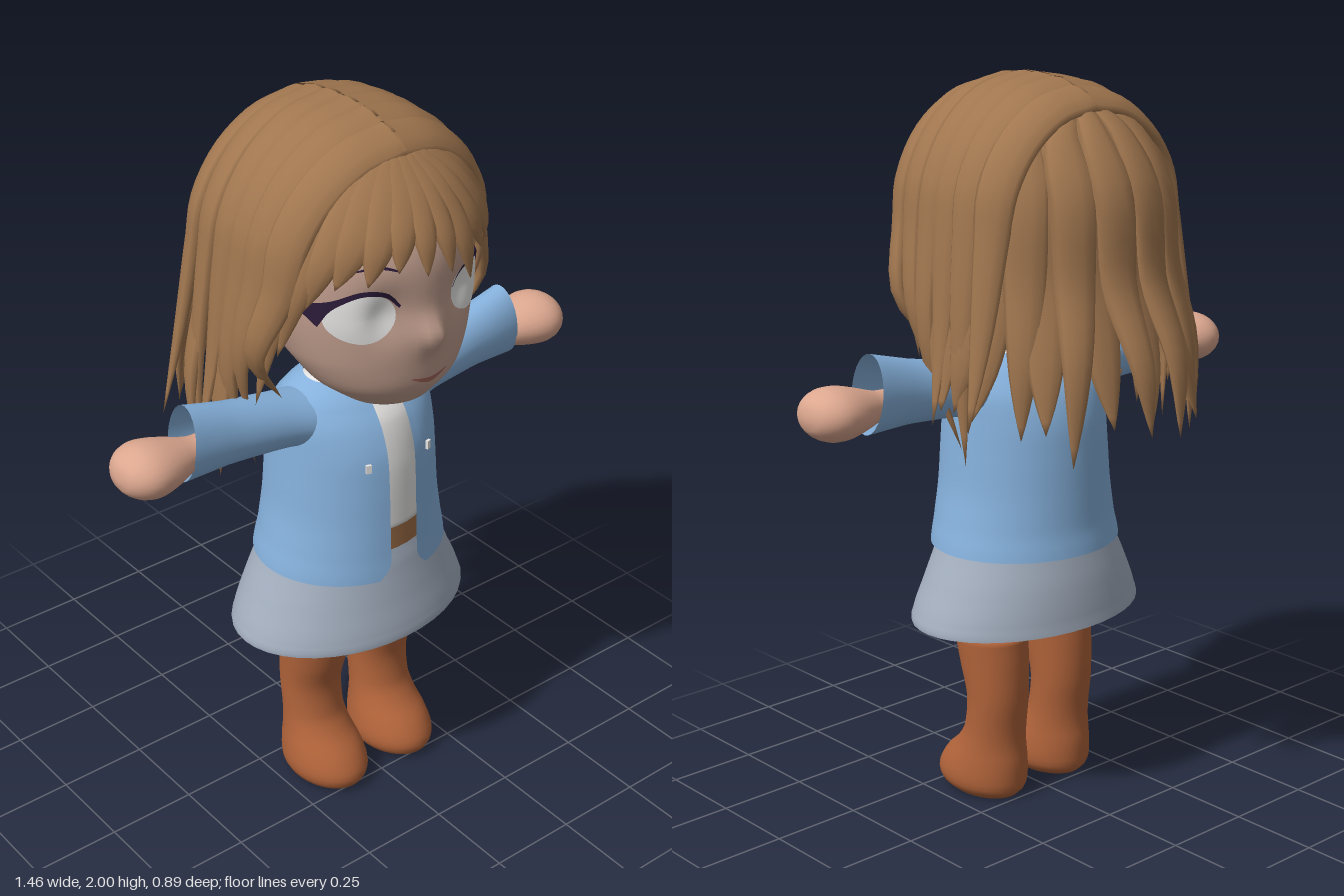
import * as THREE from 'three';
import { mergeVertices } from 'three/addons/utils/BufferGeometryUtils.js';

const V = (x, y, z) => new THREE.Vector3(x, y, z);
const { lerp, smoothstep, degToRad } = THREE.MathUtils;

const material = (name, color) => {
  const m = new THREE.MeshStandardMaterial({ color, side: THREE.DoubleSide });
  m.name = name;
  return m;
};

// Smooth surface from a function of two parameters in 0..1
function grid(rows, cols, fn) {
  const pos = [], index = [];
  for (let i = 0; i <= rows; i++)
    for (let j = 0; j <= cols; j++) pos.push(...fn(i / rows, j / cols).toArray());
  for (let i = 0; i < rows; i++)
    for (let j = 0; j < cols; j++) {
      const a = i * (cols + 1) + j, c = a + cols + 1;
      index.push(a, a + 1, c, a + 1, c + 1, c);
    }
  let g = new THREE.BufferGeometry();
  g.setAttribute('position', new THREE.Float32BufferAttribute(pos, 3));
  g.setIndex(index);
  g = mergeVertices(g, 1e-5);
  g.computeVertexNormals();
  return g;
}

// Profile rows are [y, half width, front z, back z], smoothly interpolated by height
function rowAt(rows, y) {
  let i = 0;
  while (i < rows.length - 2 && y > rows[i + 1][0]) i++;
  const at = k => rows[Math.min(Math.max(k, 0), rows.length - 1)];
  const t = (y - rows[i][0]) / (rows[i + 1][0] - rows[i][0]);
  return [1, 2, 3].map(k => {
    const [a, b, c, d] = [at(i - 1)[k], at(i)[k], at(i + 1)[k], at(i + 2)[k]];
    return b + 0.5 * t * (c - a + t * (2 * a - 5 * b + 4 * c - d + t * (3 * (b - c) + d - a)));
  });
}

// Upright body of oval sections; gap leaves a front opening of that half width
function loft(rows, { steps = 24, cols = 40, cap = false, gap = null, bump = () => 0 } = {}) {
  const y0 = rows[0][0], y1 = rows[rows.length - 1][0];
  return grid(steps + (cap ? 2 : 0), cols, (s, v) => {
    let k = 1, t = s;
    if (cap) {
      const i = Math.round(s * (steps + 2));
      k = i === 0 || i === steps + 2 ? 0 : 1;
      t = Math.min(Math.max((i - 1) / steps, 0), 1);
    }
    const y = lerp(y0, y1, t), [w, f, b] = rowAt(rows, y), c = (f + b) / 2;
    const d = gap ? Math.asin(gap(y) / w) : 0, u = d + v * (2 * Math.PI - 2 * d);
    const x = k * w * Math.sin(u);
    return V(x, y, c + k * (f - c) * Math.cos(u) + (Math.cos(u) > 0 ? k * bump(x, y) : 0));
  });
}

// Oval section swept along a path; size(t) gives [half width, half thickness], out(p) the thickness direction
function sweep(points, size, out, steps = 18, cols = 10) {
  const curve = new THREE.CatmullRomCurve3(points);
  return grid(steps, cols, (t, v) => {
    const p = curve.getPoint(t), T = curve.getTangent(t), N = out(p);
    N.addScaledVector(T, -N.dot(T)).normalize();
    const B = N.clone().cross(T), [w, h] = size(t), a = v * 2 * Math.PI;
    return p.addScaledVector(B, w * Math.cos(a)).addScaledVector(N, h * Math.sin(a));
  });
}

// Linear lookup through evenly spaced values
const ramp = (list, t) => {
  const f = t * (list.length - 1), i = Math.min(Math.floor(f), list.length - 2);
  return lerp(list[i], list[i + 1], f - i);
};

const HEAD = [
  [1.252, 0.05, 0.31, 0.2], [1.28, 0.125, 0.355, 0.12], [1.34, 0.2, 0.395, 0.05], [1.42, 0.252, 0.405, -0.03],
  [1.55, 0.288, 0.41, -0.14], [1.7, 0.288, 0.4, -0.2], [1.85, 0.21, 0.32, -0.14], [1.93, 0.09, 0.2, 0],
];
// Nose and shallow eye sockets
const relief = (x, y) => 0.04 * Math.exp(-((x / 0.035) ** 2) - ((y - 1.49) / 0.045) ** 2)
  - 0.03 * Math.exp(-(((Math.abs(x) - 0.115) / 0.055) ** 2) - ((y - 1.56) / 0.07) ** 2);
const faceZ = (x, y) => {
  const [w, f, b] = rowAt(HEAD, y), c = (f + b) / 2;
  return c + (f - c) * Math.sqrt(Math.max(0, 1 - (x / w) ** 2)) + relief(x, y);
};

// Point on the hair's egg shape at an azimuth (0 = front); straight down below its middle
const egg = (az, y, k = 1) => {
  const r = k * (y > 1.62 ? Math.sqrt(Math.max(0, 1 - ((y - 1.62) / 0.36) ** 2)) : 1);
  return V(0.335 * r * Math.sin(az), y, 0.06 + (Math.cos(az) > 0 ? 0.385 : 0.375) * r * Math.cos(az));
};

export function createModel() {
  const model = new THREE.Group();
  const skin = material('skin', 0xdca78f), faceSkin = material('face skin', 0xc09d8d);
  const hair = material('hair', 0xa0764f), blue = material('jacket blue', 0x86b1dc);
  const grey = material('skirt grey', 0xa3aebe), leather = material('boot leather', 0xb0633a);
  const white = material('white', 0xe8e7e6), dark = material('lash', 0x2c1c3a);
  const lip = material('lip', 0xa3665a), beltTan = material('belt tan', 0xa06f48);
  const add = (name, geometry, mat, x = 0) => {
    const mesh = new THREE.Mesh(geometry, mat);
    mesh.name = name;
    mesh.position.x = x;
    model.add(mesh);
    return mesh;
  };

  // Head and neck
  add('head', loft(HEAD, { steps: 50, cols: 72, cap: true, bump: relief }), faceSkin);
  add('neck', loft([[1.18, 0.075, 0.17, 0.02], [1.4, 0.065, 0.165, 0.03]]), skin);

  // Painted face details, draped on the head
  const strip = (name, mat, top, bottom, s = 1) => {
    const curves = [bottom, top].map(l => new THREE.SplineCurve(l.map(p => new THREE.Vector2(...p))));
    add(name, grid(3, 18, (i, j) => {
      const p = curves[0].getPoint(j).lerp(curves[1].getPoint(j), i);
      return V(s * p.x, p.y, faceZ(p.x, p.y) + 0.009);
    }), mat);
  };
  for (const s of [1, -1]) {
    add('eye', grid(8, 32, (r, v) => {
      const a = v * 2 * Math.PI, x = 0.166 + 0.078 * r * Math.cos(a), y = 1.557 + 0.065 * r * Math.sin(a);
      return V(s * x, y, faceZ(x, y) + 0.004 + 0.005 * (1 - r * r));
    }), white);
    strip('lash', dark, [[0.082, 1.585], [0.12, 1.626], [0.18, 1.636], [0.24, 1.606], [0.285, 1.59]],
      [[0.085, 1.578], [0.123, 1.614], [0.18, 1.622], [0.23, 1.588], [0.252, 1.535]], s);
    strip('eyebrow', dark, [[0.095, 1.685], [0.14, 1.7], [0.19, 1.688]], [[0.095, 1.68], [0.14, 1.692], [0.19, 1.685]], s);
  }
  strip('mouth', lip, [[-0.055, 1.378], [0, 1.369], [0.055, 1.378]], [[-0.055, 1.375], [0, 1.354], [0.055, 1.375]]);

  // Hair cap, open over the face
  add('hairCap', grid(20, 48, (i, v) => {
    const az = v * 2 * Math.PI - Math.PI, low = lerp(1.8, 1.38, smoothstep(Math.abs(az), 0.9, 1.5));
    return egg(az, lerp(1.98, low, (1 - i) ** 2), 0.97);
  }), hair);

  // Hair locks
  const outward = p => V(p.x, p.y - Math.min(p.y, 1.6), p.z - 0.05);
  const lock = (name, points, w, root, thick = 0.02) => add(name, sweep(points, t => {
    const k = lerp(root, 1, Math.min(1, t * 3)) * (1 - t ** 4);
    return [w * k, thick * Math.min(1, k * 1.3)];
  }, outward, 22), hair);

  // Broad side locks falling from the centre parting: [root z, tip x, tip y, tip z]
  const sides = [[0.25, 0.25, 1.27, 0.13], [0.18, 0.32, 1.22, 0.08], [0.1, 0.27, 1.04, 0.04],
    [0.02, 0.41, 1.14, -0.01], [-0.06, 0.36, 1.04, -0.08], [-0.13, 0.42, 1.15, -0.16]];
  for (const s of [1, -1])
    for (const [z, tx, ty, tz] of sides) {
      const u = Math.abs(z - 0.06) / 0.375, wide = 0.335 * (1 - u ** 3) ** (1 / 3), high = 0.362 * (1 - u ** 2.3) ** (1 / 2.3);
      const pts = [0, 22, 45, 68, 90].map(d => {
        const a = degToRad(d);
        return V(s * wide * Math.sin(a), 1.62 + high * Math.cos(a), lerp(z, tz, 0.3 * d / 90));
      });
      pts.push(V(s * 0.365, lerp(1.62, ty, 0.5), lerp(z, tz, 0.65)), V(s * tx, ty, tz));
      lock('sideLock', pts, 0.058, 1, 0.022);
    }

  // Fringe swept from the parting: [azimuth in degrees, tip height, half width]
  const fringe = [[-7, 1.67, 0.045], [5, 1.66, 0.042], [17, 1.615, 0.045], [-19, 1.69, 0.05],
    [29, 1.665, 0.05], [-31, 1.66, 0.055]];
  for (const s of [1, -1])
    fringe.push([s * 43, 1.65, 0.06], [s * 55, 1.58, 0.055], [s * 65, 1.44, 0.05], [s * 75, 1.28, 0.048]);
  for (const [deg, tip, w] of fringe) {
    const a = degToRad(deg);
    lock('fringeLock', [V(0, 1.95, 0.24), egg(a * 0.5, 1.9), egg(a * 0.72, 1.83), egg(a * 0.92, lerp(1.83, tip, 0.5), 1.01),
      egg(a * 1.06, tip, 1.01)], w, 0.3, 0.017);
  }

  // Back locks fanning from the crown, in two layers; the middle ones flare furthest
  let seed = 7;
  const random = () => (seed = (seed * 16807) % 2147483647) / 2147483647;
  for (const [count, spread, k, w] of [[9, 82, 0.97, 0.075], [8, 68, 1.02, 0.062]])
    for (let i = 0; i < count; i++) {
      const b = degToRad(lerp(-spread, spread, i / (count - 1))), a = Math.PI - b;
      const tip = 1.05 + 0.14 * random(), turn = 0.26 * (random() - 0.5);
      const flare = 1.13 + 0.1 * random() + 0.13 * Math.cos(b) ** 4;
      lock('backLock', [V(0.04 * Math.sin(b), 1.95, -0.12), egg(a, 1.87, k), egg(a, 1.72, k), egg(a, 1.5, k * 1.03),
        egg(a + turn / 2, 1.3, k * lerp(1, flare, 0.75)), egg(a + turn, tip, flare)], w, 0.3, 0.022);
    }

  // Shirt, belt and skirt
  add('shirt', loft([[0.86, 0.21, 0.295, -0.1], [1.05, 0.2, 0.29, -0.1], [1.18, 0.19, 0.26, -0.07],
    [1.27, 0.11, 0.19, 0]], { cap: true }), white);
  add('belt', loft([[0.8, 0.225, 0.3, -0.11], [0.868, 0.218, 0.3, -0.11]], { steps: 2 }), beltTan);
  add('skirt', loft([[0.53, 0.355, 0.343, -0.163], [0.545, 0.353, 0.342, -0.16], [0.65, 0.31, 0.32, -0.145],
    [0.75, 0.265, 0.298, -0.12], [0.82, 0.235, 0.28, -0.1]]), grey);

  // Open jacket with rounded front corners
  add('jacket', loft([[0.735, 0.272, 0.335, -0.15], [0.8, 0.258, 0.33, -0.14], [0.9, 0.24, 0.325, -0.135],
    [1, 0.232, 0.32, -0.13], [1.1, 0.226, 0.31, -0.12], [1.18, 0.22, 0.28, -0.09], [1.25, 0.19, 0.23, -0.03],
    [1.275, 0.14, 0.2, 0]], { steps: 32, cols: 56, gap: y => 0.044 + 0.035 * Math.max(0, (0.79 - y) / 0.055) ** 2 }), blue);

  const up = () => V(0, 1, 0);
  for (const s of [1, -1]) {
    // Sleeve, forearm and rounded hand
    add('sleeve', sweep([V(s * 0.12, 1.17, 0.1), V(s * 0.24, 1.19, 0.1), V(s * 0.4, 1.21, 0.098), V(s * 0.535, 1.225, 0.095)],
      t => [ramp([0.1, 0.08, 0.066, 0.063], t), ramp([0.075, 0.075, 0.085, 0.105], t)], up, 16, 28), blue);
    add('hand', sweep([V(s * 0.4, 1.19, 0.095), V(s * 0.55, 1.192, 0.095), V(s * 0.731, 1.197, 0.095)], t => {
      const d = (t - 0.77) / 0.23, palm = d < 0 ? smoothstep(t, 0.3, 0.77) : Math.sqrt(Math.max(0, 1 - d * d));
      return d < 0 ? [lerp(0.046, 0.094, palm), lerp(0.038, 0.07, palm)] : [0.094 * palm, 0.07 * palm];
    }, up, 40, 24), skin);

    // Small jacket pin
    const pin = add('pin', new THREE.BoxGeometry(0.014, 0.024, 0.008), white);
    pin.position.set(s * 0.1, 1.08, 0.296);
    pin.rotation.y = s * 0.35;

    // Leg and boot
    add('leg', loft([[0.42, 0.075, 0.175, 0.01], [0.55, 0.09, 0.19, -0.01], [0.7, 0.115, 0.22, -0.06],
      [0.82, 0.115, 0.23, -0.08]], { cap: true }), skin, s * 0.12);
    add('boot', loft([[0.005, 0.08, 0.25, 0.02], [0.025, 0.102, 0.275, 0], [0.06, 0.109, 0.28, -0.005],
      [0.11, 0.102, 0.25, -0.005], [0.15, 0.093, 0.205, 0], [0.2, 0.087, 0.17, 0], [0.3, 0.088, 0.158, -0.01],
      [0.4, 0.094, 0.185, -0.01], [0.48, 0.099, 0.2, -0.005]], { steps: 30, cap: true }), leather, s * 0.12);
  }
  return model;
}
